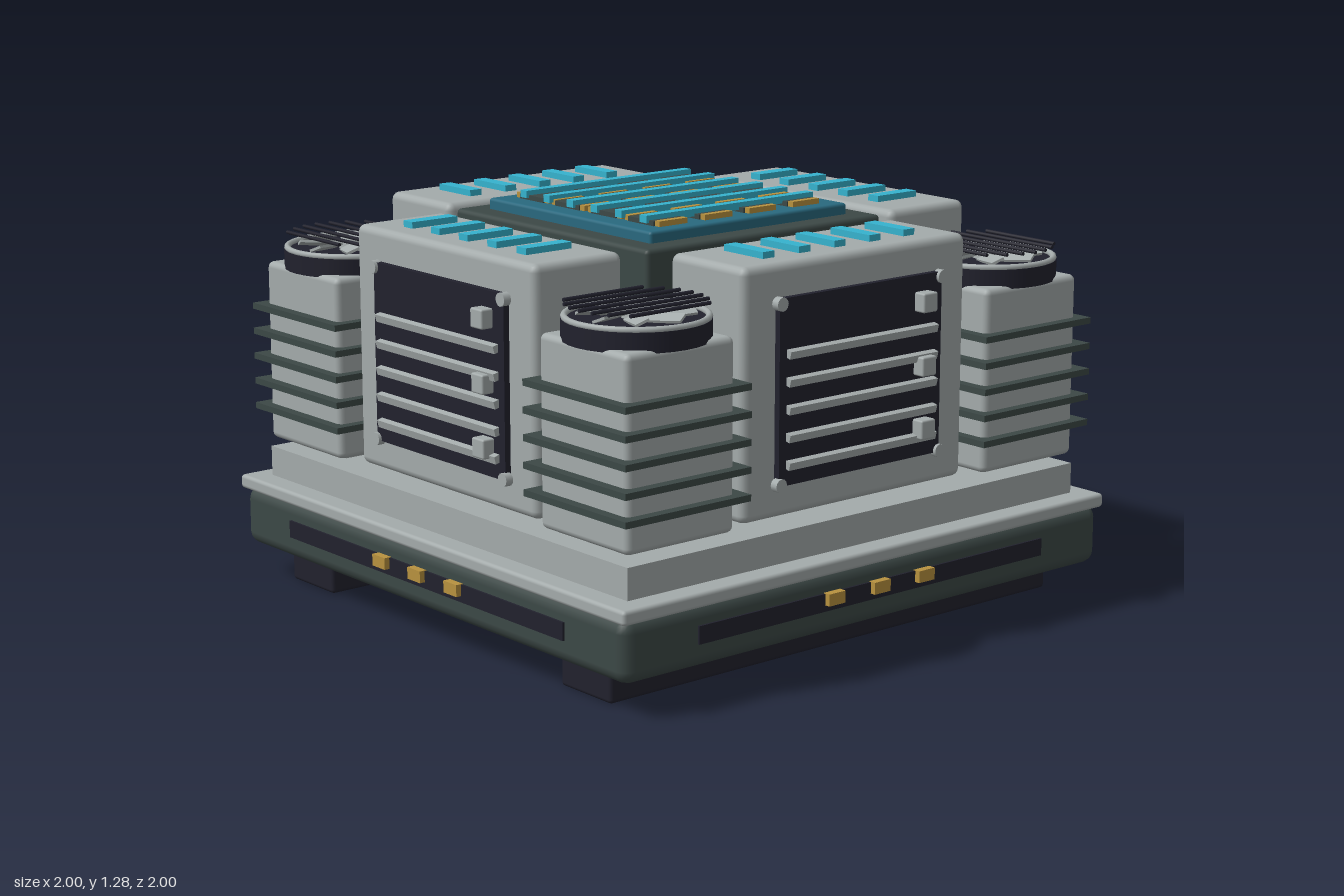
import * as THREE from 'three';
import { RoundedBoxGeometry } from 'three/addons/geometries/RoundedBoxGeometry.js';

const mat = (name, color) => Object.assign(new THREE.MeshStandardMaterial({ color }), { name });
const grey = mat('panel grey', 0xa4abab);
const green = mat('dark green grey', 0x3c4846);
const navy = mat('near black navy', 0x21212d);
const teal = mat('teal', 0x29697f);
const cyan = mat('cyan', 0x36b3cf);
const amber = mat('amber', 0xb8923f);

function add(parent, name, geo, material, x, y, z) {
  const m = new THREE.Mesh(geo, material);
  m.name = name;
  m.position.set(x, y, z);
  parent.add(m);
  return m;
}

// Box given by its centre in x and z, and its bottom and top heights
function block(parent, name, material, x, z, w, d, y0, y1, r = 0) {
  const h = y1 - y0;
  const geo = r ? new RoundedBoxGeometry(w, h, d, 2, r) : new THREE.BoxGeometry(w, h, d);
  return add(parent, name, geo, material, x, (y0 + y1) / 2, z);
}

function group(parent, name) {
  const g = new THREE.Group();
  g.name = name;
  parent.add(g);
  return g;
}

// Cabinet on the +z side with louvred front and lit slots on top
function buildCabinet(parent) {
  const g = group(parent, 'cabinet');
  block(g, 'cabinetBody', grey, 0, 0.71, 0.9, 0.33, 0.46, 1.22, 0.025);
  for (let i = -2; i <= 2; i++) block(g, 'topLight', cyan, i * 0.142, 0.71, 0.045, 0.17, 1.215, 1.24);
  block(g, 'louvrePanel', navy, 0, 0.88, 0.655, 0.03, 0.56, 1.12);
  for (let i = 0; i < 5; i++) {
    const y = 0.955 - i * 0.083;
    const slat = block(g, 'louvreSlat', grey, 0, 0.897, 0.6, 0.03, y - 0.012, y + 0.012);
    slat.rotation.x = 0.25;
  }
  for (const y of [1.04, 0.845, 0.65]) block(g, 'latch', grey, 0.245, 0.91, 0.058, 0.05, y - 0.03, y + 0.03, 0.006);
  for (const x of [-0.325, 0.325]) for (const y of [0.565, 1.105]) {
    add(g, 'panelBolt', new THREE.CylinderGeometry(0.021, 0.021, 0.025, 12), grey, x, y, 0.893).rotation.x = Math.PI / 2;
  }
  // Sloping pipes joining cabinet and core
  for (const x of [-0.305, 0.305]) {
    const path = new THREE.CatmullRomCurve3([[0.88, 0.46], [0.8, 0.5], [0.72, 0.515], [0.65, 0.56]]
      .map(([y, z]) => new THREE.Vector3(x, y, z)));
    add(g, 'coolantPipe', new THREE.TubeGeometry(path, 10, 0.038, 10), teal, 0, 0, 0);
    add(g, 'pipeCollar', new THREE.TorusGeometry(0.043, 0.01, 8, 18), grey, x, 0.78, 0.505).rotation.x = Math.PI / 2;
  }
}

// Finned corner tower with a fan on top
function buildTower(parent) {
  const g = group(parent, 'coolingTower');
  g.position.set(0.71, 0, 0.71);
  block(g, 'towerBody', grey, 0, 0, 0.4, 0.4, 0.46, 1.04, 0.02);
  block(g, 'towerFoot', grey, 0, 0, 0.28, 0.28, 0.445, 0.47);
  for (let i = 0; i < 5; i++) {
    const y = 0.565 + i * 0.082;
    block(g, 'coolingFin', green, 0, 0, 0.466, 0.466, y - 0.01, y + 0.01);
  }
  add(g, 'fanHousing', new THREE.CylinderGeometry(0.218, 0.218, 0.06, 32), navy, 0, 1.06, 0);
  add(g, 'fanRim', new THREE.TorusGeometry(0.208, 0.01, 8, 36), grey, 0, 1.095, 0).rotation.x = Math.PI / 2;
  add(g, 'fanHub', new THREE.CylinderGeometry(0.04, 0.045, 0.03, 16), grey, 0, 1.105, 0);
  for (let i = 0; i < 8; i++) {
    const pivot = group(g, 'fanBlade');
    pivot.position.y = 1.103;
    pivot.rotation.y = (i / 8) * Math.PI * 2 + 0.2;
    const blade = add(pivot, 'blade', new THREE.BoxGeometry(0.125, 0.008, 0.042), grey, 0.108, 0, 0.012);
    blade.rotation.set(0.4, 0.2, 0);
  }
  // Guard rods, cut to the circle
  for (let i = -3; i <= 3; i++) {
    const x = i * 0.05, len = 2 * Math.sqrt(0.21 ** 2 - x * x);
    add(g, 'guardRod', new THREE.CylinderGeometry(0.006, 0.006, len, 6), navy, x, 1.135, 0).rotation.x = Math.PI / 2;
  }
}

// Strip and lamps on the +z edge of the base
function buildEdge(parent) {
  const g = group(parent, 'baseEdge');
  block(g, 'edgeStrip', navy, 0, 0.975, 1.41, 0.014, 0.18, 0.235);
  for (const x of [-0.185, 0, 0.185]) block(g, 'edgeLamp', amber, x, 0.985, 0.065, 0.03, 0.2, 0.237);
}

export function createModel() {
  const model = new THREE.Group();
  model.name = 'coolingUnit';

  // Base
  const base = group(model, 'base');
  for (const x of [-0.705, 0.705]) block(base, 'runner', navy, x, 0, 0.23, 1.8, 0, 0.14, 0.012);
  block(base, 'chassis', green, 0, 0, 1.95, 1.95, 0.105, 0.295, 0.04);
  block(base, 'deckLip', grey, 0, 0, 1.97, 1.97, 0.288, 0.333, 0.012);
  block(base, 'deck', grey, 0, 0, 1.82, 1.82, 0.33, 0.43);

  // Central core and its lit top grid
  const core = group(model, 'core');
  block(core, 'coreBody', green, 0, 0, 0.95, 0.95, 0.46, 1.22, 0.015);
  block(core, 'topPlate', teal, 0, 0, 0.8, 0.8, 1.21, 1.255, 0.01);
  const cells = [-0.27, -0.09, 0.09, 0.27];
  for (const x of cells) for (const z of cells) {
    block(core, 'cell', green, x, z, 0.12, 0.12, 1.25, 1.27);
    for (const s of [-1, 1]) block(core, 'cellContact', amber, x + s * 0.071, z, 0.022, 0.11, 1.25, 1.272);
  }
  for (let i = 0; i < 6; i++) block(core, 'lightBar', cyan, -0.298 + i * 0.118, 0, 0.032, 0.68, 1.262, 1.285);

  // Four identical quarters turned about the core
  for (let i = 0; i < 4; i++) {
    const quarter = group(model, 'quarter');
    quarter.rotation.y = (i * Math.PI) / 2;
    buildCabinet(quarter);
    buildTower(quarter);
    buildEdge(quarter);
  }
  return model;
}
